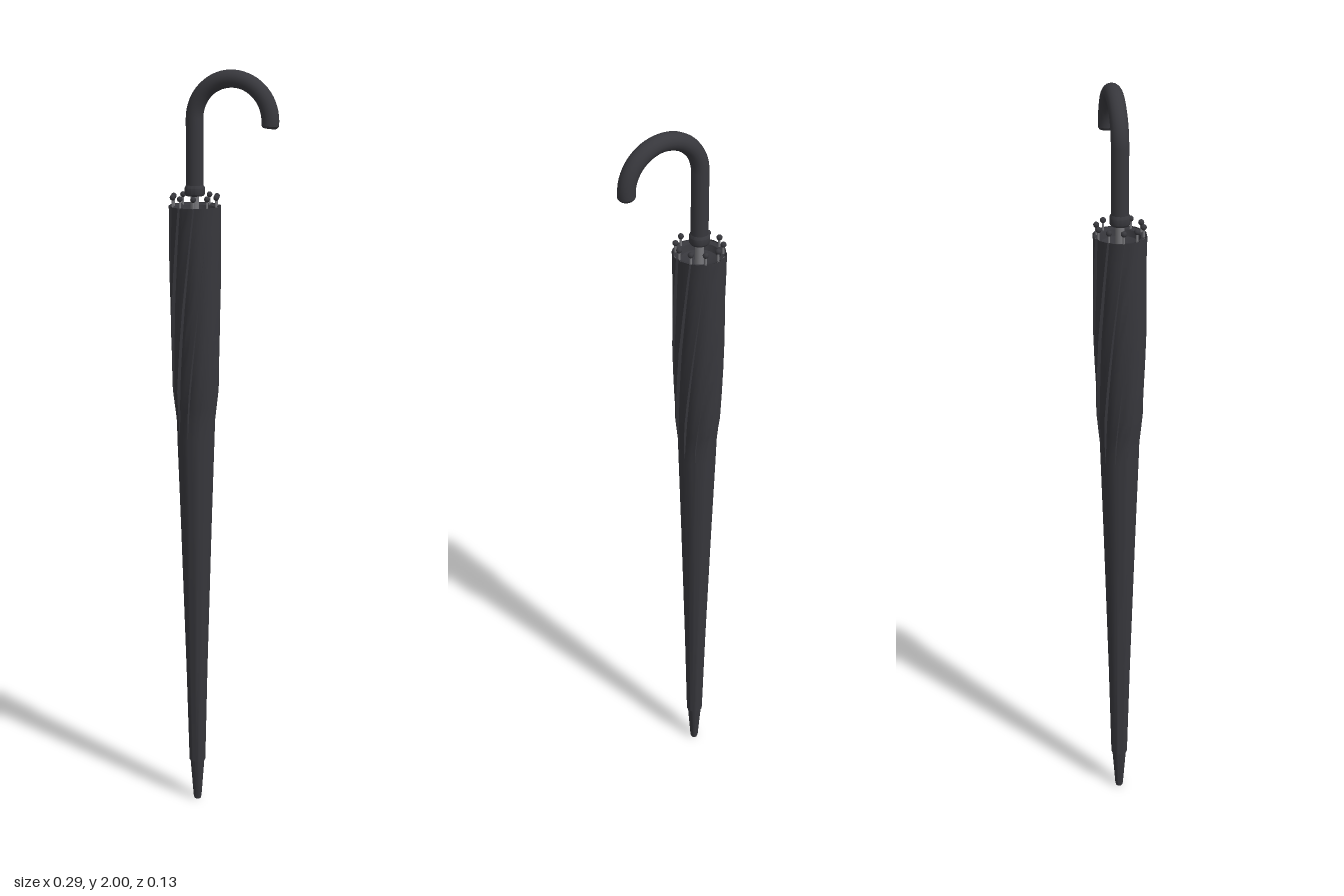
import * as THREE from 'three';
import { toCreasedNormals } from 'three/addons/utils/BufferGeometryUtils.js';

const AXIS_X = -0.08; // shaft axis
const RIBS = 10;

const mat = (name, color) => new THREE.MeshStandardMaterial({ name, color });

// Linear interpolation along [y, value] pairs
function sample(table, y) {
  for (let i = 1; i < table.length; i++) {
    const [y0, v0] = table[i - 1], [y1, v1] = table[i];
    if (y <= y1) return v0 + (v1 - v0) * (y - y0) / (y1 - y0);
  }
  return table[table.length - 1][1];
}

// Rolled canopy: stacked rings whose pleats grow and twist towards the top
function canopyGeometry() {
  const radius = [[0.12, 0.022], [0.4, 0.029], [0.8, 0.041], [1.1, 0.051], [1.18, 0.06], [1.4, 0.066], [1.66, 0.067]];
  const pleat = [[0.12, 0], [1.05, 0.0005], [1.18, 0.008], [1.5, 0.008], [1.66, 0.005]];
  const levels = [0.12, 0.4, 0.8, 1.05, 1.1, 1.14, 1.18, 1.25, 1.32, 1.4, 1.48, 1.54, 1.6, 1.66];
  const teeth = [[0, 0], [0.3, 0.1], [0.65, 0.4], [0.92, 1]]; // [share of pitch, depth]
  const n = RIBS * teeth.length;
  const pos = [], index = [];
  for (const y of levels) {
    const twist = -1.0 * Math.max(0, y - 1.66 + 0.56) / 0.56 + 1.0;
    for (let k = 0; k < RIBS; k++) {
      for (const [share, depth] of teeth) {
        const a = (k + share) / RIBS * Math.PI * 2 + twist;
        const r = sample(radius, y) - depth * sample(pleat, y);
        pos.push(r * Math.cos(a), y, r * Math.sin(a));
      }
    }
  }
  for (let l = 0; l < levels.length - 1; l++) {
    for (let i = 0; i < n; i++) {
      const a = l * n + i, b = l * n + (i + 1) % n;
      index.push(a, a + n, b, b, a + n, b + n);
    }
  }
  const g = new THREE.BufferGeometry();
  g.setAttribute('position', new THREE.Float32BufferAttribute(pos, 3));
  g.setIndex(index);
  return toCreasedNormals(g, 0.7);
}

export function createModel() {
  const fabric = mat('blackFabric', 0x37373c);
  fabric.side = THREE.DoubleSide;
  const grip = mat('blackGrip', 0x38383d);
  const metal = mat('greyMetal', 0x77777b);

  const model = new THREE.Group();
  model.name = 'umbrella';
  const add = (name, geometry, material, x, y, z, parent = model) => {
    const mesh = new THREE.Mesh(geometry, material);
    mesh.name = name;
    mesh.position.set(x, y, z);
    parent.add(mesh);
    return mesh;
  };
  const lathe = (points, sides) => toCreasedNormals(
    new THREE.LatheGeometry(points.map(([r, y]) => new THREE.Vector2(r, y)), sides), 0.6);

  // Canopy with its sunken top and pointed ferrule
  add('canopy', canopyGeometry(), fabric, AXIS_X, 0, 0);
  add('canopyTop', lathe([[0.063, 1.659], [0.052, 1.655], [0.046, 1.64], [0.008, 1.625]], 20), fabric, AXIS_X, 0, 0);
  add('ferrule', lathe([[0, 0], [0.009, 0], [0.011, 0.008], [0.019, 0.115], [0.021, 0.13], [0, 0.13]], 16), grip, AXIS_X, 0, 0);

  // Shaft and collar
  add('shaft', new THREE.CylinderGeometry(0.011, 0.011, 0.1, 12), metal, AXIS_X, 1.66, 0);
  add('collar', lathe([[0, 1.685], [0.023, 1.685], [0.026, 1.69], [0.026, 1.705], [0.022, 1.712]], 16), grip, AXIS_X, 0, 0);

  // Crook handle: straight grip, bent arc, bevelled end
  const bend = 0.101, tube = 0.022, cy = 1.877, cx = AXIS_X + bend, over = 0.1;
  add('handleGrip', new THREE.CylinderGeometry(tube, tube, cy - 1.69, 16, 1, true), grip, AXIS_X, (cy + 1.69) / 2, 0);
  const arc = add('handleCrook', new THREE.TorusGeometry(bend, tube, 16, 32, Math.PI + over), grip, cx, cy, 0);
  arc.rotation.z = -over;
  const end = add('handleEnd', new THREE.CylinderGeometry(tube, 0.018, 0.006, 16), grip,
    cx + bend * Math.cos(over) - 0.0003, cy - bend * Math.sin(over) - 0.003, 0);
  end.rotation.z = -over;

  // Rib tips around the canopy rim
  const rod = new THREE.CylinderGeometry(0.003, 0.003, 0.04, 8);
  const ball = new THREE.SphereGeometry(0.0075, 10, 8);
  for (let k = 0; k < RIBS; k++) {
    const a = k / RIBS * Math.PI * 2;
    const rib = new THREE.Group();
    rib.name = 'ribTip' + (k + 1);
    rib.position.set(AXIS_X + 0.058 * Math.cos(a), 0, 0.058 * Math.sin(a));
    add('ribRod', rod, metal, 0, 1.663, 0, rib);
    add('ribKnob', ball, grip, 0, 1.682, 0, rib);
    model.add(rib);
  }
  return model;
}
